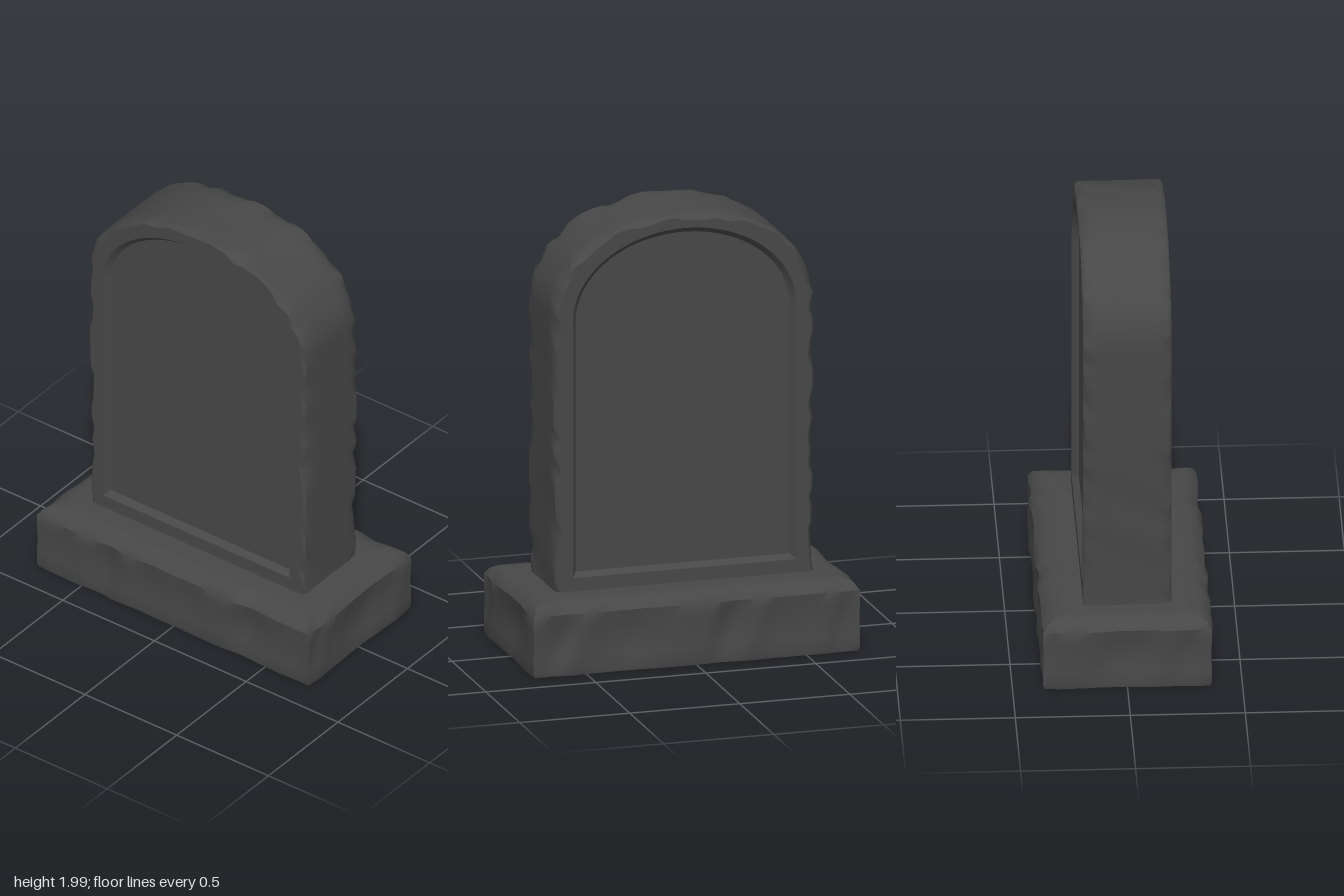
import * as THREE from 'three';
import { toCreasedNormals } from 'three/addons/utils/BufferGeometryUtils.js';

const stone = new THREE.MeshStandardMaterial({ color: 0x474747 });
stone.name = 'darkStone';

// Smooth seeded value noise in 0..1, used for weathering
function hash(i, seed) {
  const s = Math.sin(i * 127.1 + seed * 311.7) * 43758.5453;
  return s - Math.floor(s);
}
function noise(t, seed) {
  const i = Math.floor(t), f = t - i, k = f * f * (3 - 2 * f);
  return hash(i, seed) * (1 - k) + hash(i + 1, seed) * k;
}

// Skin a list of closed rings that all have the same number of points
function loft(rings, crease = 0.7) {
  const n = rings[0].length, pos = rings.flat(2), index = [];
  for (let r = 0; r < rings.length - 1; r++) {
    for (let j = 0; j < n; j++) {
      const a = r * n + j, b = r * n + (j + 1) % n;
      index.push(a, a + n, b, b, a + n, b + n);
    }
  }
  const g = new THREE.BufferGeometry();
  g.setAttribute('position', new THREE.Float32BufferAttribute(pos, 3));
  g.setIndex(index);
  return toCreasedNormals(g, crease);
}

function mesh(name, geometry) {
  const m = new THREE.Mesh(geometry, stone);
  m.name = name;
  return m;
}

// Round-topped outline as [z, y] points
function archOutline(w, bottom, spring, top) {
  const pts = [];
  for (let i = 0; i < 24; i++) pts.push([-w + 2 * w * i / 24, bottom]);
  for (let i = 0; i < 36; i++) pts.push([w, bottom + (spring - bottom) * i / 36]);
  for (let i = 0; i < 48; i++) {
    const a = Math.PI * i / 48;
    pts.push([w * Math.cos(a), spring + (top - spring) * Math.sin(a)]);
  }
  for (let i = 0; i < 36; i++) pts.push([-w, spring + (bottom - spring) * i / 36]);
  return pts;
}

const CX = -0.007, HALF = 0.192, DEPTH = 0.03;
const outer = archOutline(0.592, 0.3, 1.58, 2.005);
const rim = archOutline(0.508, 0.385, 1.54, 1.925);
const inner = archOutline(0.485, 0.405, 1.54, 1.9);

function createHeadstone() {
  const group = new THREE.Group();
  group.name = 'headstone';
  const flat = (loop, x) => loop.map(([z, y]) => [CX + x, y, z]);

  // Worn side wall: inset pulls points towards the middle, chips bite the edges
  const wall = (x, inset, edge) => outer.map(([z, y], j) => {
    const wave = 0.024 * noise(j * 0.24 + x * 3.5, 3) * noise(j * 0.1 - x * 2, 5);
    const chip = edge * 0.034 * Math.max(0, noise(j * 0.5, x > 0 ? 11 : 17) - 0.35);
    const d = inset + wave + chip;
    const nz = z / 0.592, ny = Math.max(0, (y - 1.58) / 0.425);
    const len = Math.hypot(nz, ny) || 1;
    return y < 0.31 ? [CX + x, y, z * (1 - d / 0.592)]
      : [CX + x, y - d * ny / len, z - d * nz / len];
  });

  const rings = [flat(inner, -HALF + DEPTH), flat(rim, -HALF), wall(-HALF, 0.012, 1), wall(-HALF + 0.012, 0, 1)];
  for (const x of [-0.145, -0.1, -0.05, 0, 0.05, 0.1, 0.145]) rings.push(wall(x, 0, 0));
  rings.push(wall(HALF - 0.012, 0, 1), wall(HALF, 0.012, 1), flat(rim, HALF), flat(inner, HALF - DEPTH));
  group.add(mesh('headstoneBody', loft(rings)));

  // Flat recessed panel on each broad face
  for (const side of [-1, 1]) {
    const x = side * (HALF - DEPTH);
    const middle = inner.map(() => [CX + x, 1.15, 0]);
    const panel = side < 0 ? [middle, flat(inner, x)] : [flat(inner, x), middle];
    group.add(mesh(side < 0 ? 'rightPanel' : 'leftPanel', loft(panel)));
  }
  return group;
}

function createPlinth() {
  const W = 0.375, D = 0.75;
  const corners = [[1, 1], [-1, 1], [-1, -1], [1, -1]];
  const counts = [20, 40, 20, 40];

  // Rounded rectangle ring with vertical flutes worn into the sides
  const ring = (y, inset, wear) => {
    const pts = [];
    corners.forEach(([sx, sz], c) => {
      const [ex, ez] = corners[(c + 1) % 4], n = counts[c];
      for (let i = 0; i < n; i++) {
        const t = i / n, j = pts.length;
        const end = Math.min(1, Math.min(i, n - i) / 2);
        const d = inset + wear * end * noise(j * 0.33 + y * 2.5, 23) + (1 - end) * 0.008;
        const px = sx + (ex - sx) * t, pz = sz + (ez - sz) * t;
        pts.push([px * (W - d), y, pz * (D - d)]);
      }
    });
    return pts;
  };
  const cap = (y) => ring(y, 0, 0).map(() => [0, y, 0]);
  return mesh('plinth', loft([
    cap(0), ring(0, 0.006, 0.012), ring(0.02, 0, 0.016), ring(0.08, 0, 0.03), ring(0.15, 0.003, 0.038),
    ring(0.22, 0, 0.03), ring(0.275, 0, 0.018), ring(0.305, 0.022, 0.022), ring(0.322, 0.052, 0.02),
    ring(0.325, 0.1, 0.01), cap(0.325),
  ]));
}

export function createModel() {
  const model = new THREE.Group();
  model.name = 'gravestone';
  model.add(createPlinth(), createHeadstone());
  return model;
}
